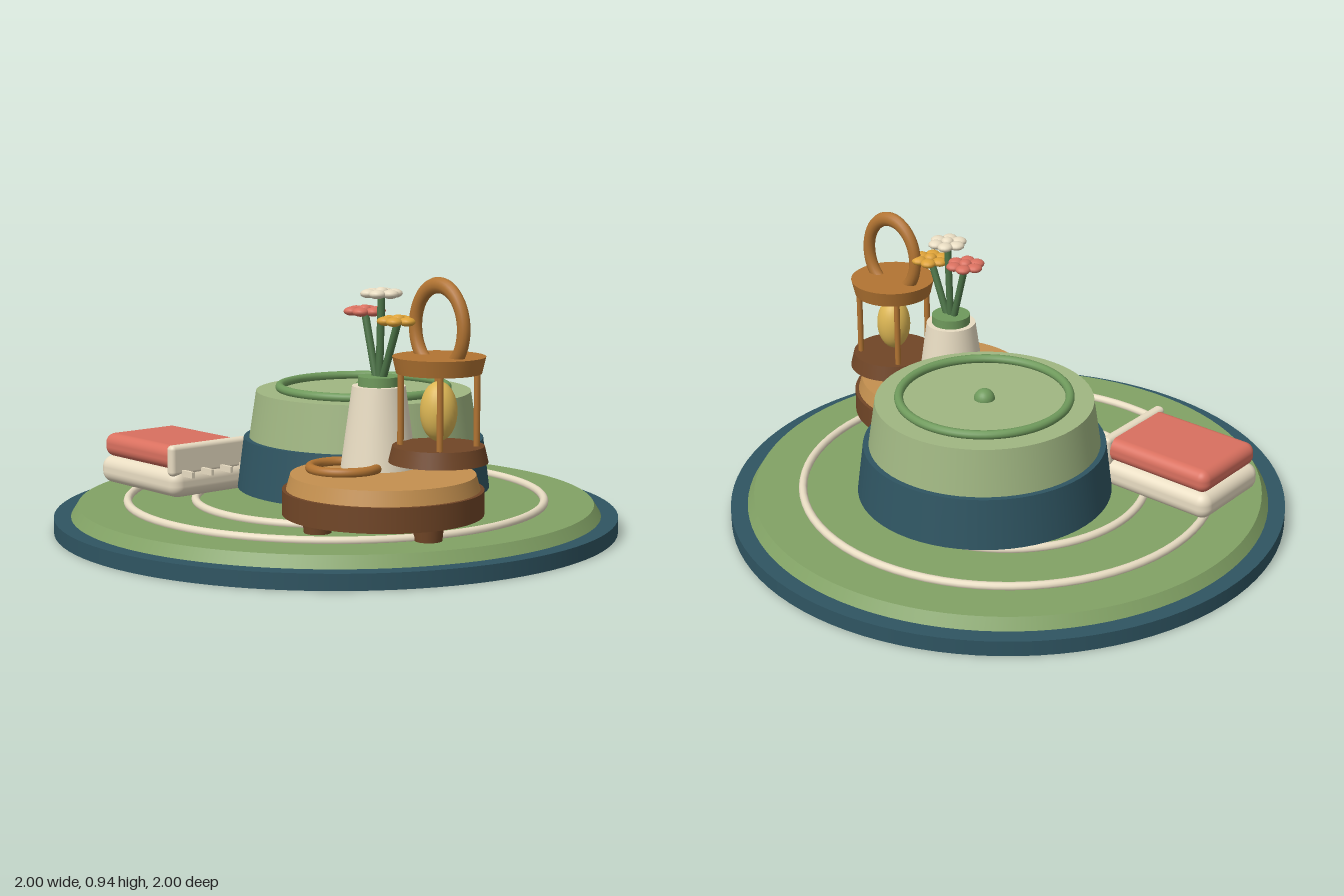
import * as THREE from 'three';
import { RoundedBoxGeometry } from 'three/addons/geometries/RoundedBoxGeometry.js';

const paint = (color) => new THREE.MeshStandardMaterial({ color });
const M = {
  navy: paint(0x2f5562), green: paint(0x82a265), sage: paint(0xa0b682), cream: paint(0xe8dcc2),
  coral: paint(0xd9705f), wood: paint(0xc4904f), brown: paint(0x714627), honey: paint(0xb27432),
  gold: paint(0xdcb654), stem: paint(0x4d7548), amber: paint(0xdda238), moss: paint(0x6f9a5c),
};

function add(parent, name, geometry, material, x = 0, y = 0, z = 0) {
  const mesh = new THREE.Mesh(geometry, material);
  mesh.name = name;
  mesh.position.set(x, y, z);
  parent.add(mesh);
  return mesh;
}

// Upright round part between two heights
function drum(parent, name, material, y0, y1, rBottom, rTop, x = 0, z = 0, sides = 64) {
  return add(parent, name, new THREE.CylinderGeometry(rTop, rBottom, y1 - y0, sides), material, x, (y0 + y1) / 2, z);
}

// Ring lying flat
function ring(parent, name, material, radius, tube, y, x = 0, z = 0) {
  const mesh = add(parent, name, new THREE.TorusGeometry(radius, tube, 12, 80), material, x, y, z);
  mesh.rotation.x = Math.PI / 2;
  return mesh;
}

function group(parent, name, x = 0, z = 0) {
  const g = new THREE.Group();
  g.name = name;
  g.position.set(x, 0, z);
  parent.add(g);
  return g;
}

export function createModel() {
  const model = new THREE.Group();
  model.name = 'loungeCorner';

  // Round rug with two piped rings
  const rug = group(model, 'rug');
  drum(rug, 'rugBorder', M.navy, 0, 0.055, 1, 1, 0, 0, 96);
  drum(rug, 'rugField', M.green, 0.055, 0.095, 0.94, 0.915, 0, 0, 96);
  ring(rug, 'outerPiping', M.cream, 0.74, 0.015, 0.102);
  ring(rug, 'innerPiping', M.cream, 0.5, 0.015, 0.102);

  // Pouf
  const pouf = group(model, 'pouf', 0, -0.13);
  drum(pouf, 'poufBase', M.navy, 0.13, 0.31, 0.453, 0.43);
  drum(pouf, 'poufCushion', M.sage, 0.31, 0.477, 0.41, 0.385);
  ring(pouf, 'cushionPiping', M.moss, 0.3, 0.016, 0.489);
  add(pouf, 'button', new THREE.SphereGeometry(0.037, 24, 16), M.moss, 0, 0.477, 0);

  // Low table on three legs
  const table = group(model, 'table', 0.505, 0.228);
  drum(table, 'tableBase', M.brown, 0.152, 0.235, 0.335, 0.335);
  drum(table, 'tableTop', M.wood, 0.235, 0.285, 0.322, 0.308);
  for (let i = 0; i < 3; i++) {
    const a = (i * Math.PI * 2) / 3;
    drum(table, 'tableLeg', M.brown, 0.095, 0.155, 0.046, 0.052, 0.22 * Math.cos(a), 0.22 * Math.sin(a), 20);
  }
  ring(table, 'coaster', M.honey, 0.113, 0.017, 0.297, -0.12, 0.067);

  // Vase with three flowers
  const vase = group(model, 'vase', 0.395, 0.15);
  drum(vase, 'vaseBody', M.cream, 0.285, 0.56, 0.128, 0.09, 0, 0, 40);
  drum(vase, 'vaseCollar', M.moss, 0.56, 0.592, 0.07, 0.07, 0, 0, 32);
  const flowers = [[-0.072, 0.805, M.coral], [0.012, 0.87, M.cream], [0.095, 0.785, M.amber]];
  for (const [x, y, material] of flowers) {
    const stem = new THREE.LineCurve3(new THREE.Vector3(x * 0.15, 0.57, 0), new THREE.Vector3(x, y, 0));
    add(vase, 'stem', new THREE.TubeGeometry(stem, 1, 0.013, 10), M.stem);
    const flower = group(vase, 'flower', x, 0);
    flower.position.y = y;
    const petal = new THREE.SphereGeometry(0.028, 14, 10);
    for (let i = 0; i < 6; i++) {
      const a = (i * Math.PI) / 3;
      add(flower, 'petal', petal, material, 0.044 * Math.cos(a), 0, 0.044 * Math.sin(a)).scale.y = 0.55;
    }
    add(flower, 'flowerCentre', petal, material, 0, 0.005, 0).scale.set(0.85, 0.6, 0.85);
  }

  // Lantern
  const lantern = group(model, 'lantern', 0.647, 0.112);
  drum(lantern, 'lanternBase', M.brown, 0.33, 0.385, 0.165, 0.152, 0, 0, 40);
  drum(lantern, 'lanternCap', M.honey, 0.625, 0.68, 0.141, 0.154, 0, 0, 40);
  for (const sx of [-1, 1]) for (const sz of [-1, 1]) {
    drum(lantern, 'lanternPost', M.honey, 0.38, 0.63, 0.011, 0.011, sx * 0.094, sz * 0.083, 12);
  }
  add(lantern, 'glow', new THREE.SphereGeometry(0.062, 28, 20), M.gold, 0, 0.498, 0).scale.y = 1.6;
  const handle = new THREE.TorusGeometry(0.114, 0.022, 14, 48);
  add(lantern, 'handle', handle, M.honey, 0, 0.773, 0).scale.y = 1.22;

  // Two folded blankets with a fringed band
  const blankets = group(model, 'blankets', -0.515, 0.335);
  add(blankets, 'lowerBlanket', new RoundedBoxGeometry(0.47, 0.1, 0.345, 5, 0.042), M.cream, 0, 0.163, 0);
  add(blankets, 'upperBlanket', new RoundedBoxGeometry(0.445, 0.085, 0.325, 5, 0.036), M.coral, 0, 0.253, 0);
  add(blankets, 'band', new RoundedBoxGeometry(0.04, 0.11, 0.345, 4, 0.016), M.cream, 0.205, 0.247, 0);
  for (let i = 0; i < 4; i++) {
    add(blankets, 'fringe', new THREE.BoxGeometry(0.08, 0.022, 0.012), M.cream, 0.245, 0.203, -0.129 + i * 0.085);
  }

  return model;
}
